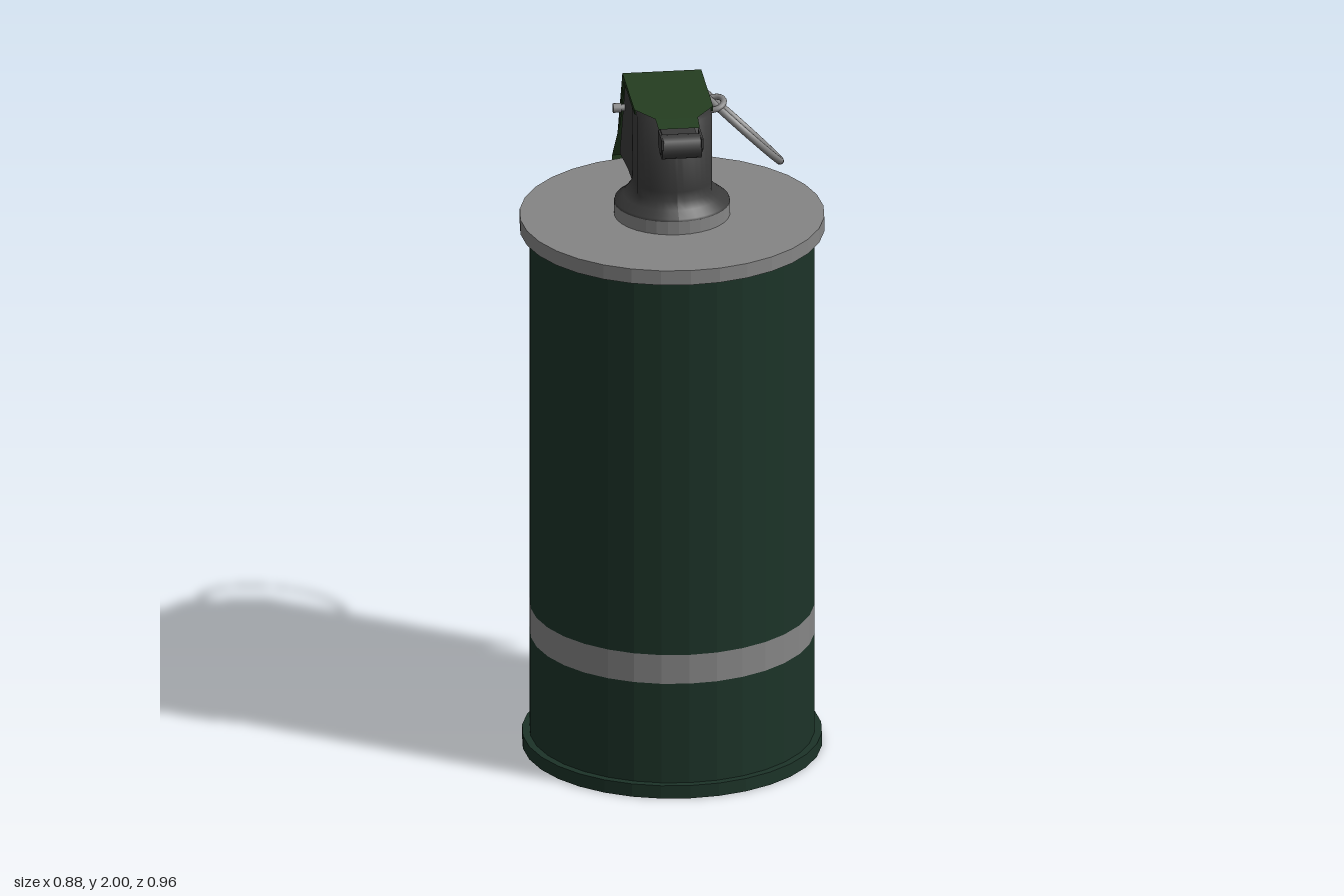
import * as THREE from 'three';

const CZ = 0.04; // axis of the can

const paint = (color, extra = {}) => new THREE.MeshStandardMaterial({ color, ...extra });

export function createModel() {
  const group = new THREE.Group();
  const green = paint(0x1c3328, { flatShading: true });
  const leverGreen = paint(0x243d20, { flatShading: true, side: THREE.DoubleSide });
  const metal = paint(0x858585, { flatShading: true });
  const wire = paint(0x858585);
  const dark = paint(0x3a3a3a);

  function add(name, geometry, material, x = 0, y = 0, z = 0) {
    const mesh = new THREE.Mesh(geometry, material);
    mesh.name = name;
    mesh.position.set(x, y, z);
    group.add(mesh);
    return mesh;
  }
  const disc = (name, r, y0, y1, material) =>
    add(name, new THREE.CylinderGeometry(r, r, y1 - y0, 32), material, 0, (y0 + y1) / 2, CZ);
  // Extrudes a [z, y] side profile across x, centred on x = 0
  function sideExtrude(points, width) {
    const shape = new THREE.Shape(points.map(([z, y]) => new THREE.Vector2(-z, y)));
    return new THREE.ExtrudeGeometry(shape, { depth: width, bevelEnabled: false })
      .translate(0, 0, -width / 2).rotateY(Math.PI / 2);
  }

  // Can
  disc('bottomRim', 0.435, 0, 0.04, green);
  disc('lowerBody', 0.413, 0.04, 0.35, green);
  disc('stripe', 0.413, 0.35, 0.44, metal);
  disc('upperBody', 0.413, 0.44, 1.61, green);
  disc('lid', 0.442, 1.61, 1.655, metal);
  disc('collar', 0.168, 1.655, 1.695, metal);

  // Fuze neck: flared foot, flattened on the sides higher up
  const profile = [[0.168, 1.695], [0.166, 1.702], [0.142, 1.72], [0.128, 1.742], [0.125, 1.77], [0.125, 1.985], [0, 1.985]];
  const neck = new THREE.LatheGeometry(profile.map(([r, y]) => new THREE.Vector2(r, y)), 40);
  const np = neck.attributes.position;
  for (let i = 0; i < np.count; i++) {
    if (np.getY(i) > 1.73) np.setX(i, THREE.MathUtils.clamp(np.getX(i), -0.109, 0.109));
  }
  neck.computeVertexNormals();
  add('fuzeNeck', neck, dark, 0, 0, CZ);

  // Fuze head: block that runs back under the lever
  add('fuzeHead', sideExtrude([[0.06, 1.735], [0.06, 1.99], [-0.185, 1.99], [-0.322, 1.70], [-0.12, 1.73]], 0.215), dark);

  // Hinge at the front
  add('hingeBridge', new THREE.BoxGeometry(0.1, 0.045, 0.1), dark, 0, 1.95, 0.2);
  add('hingeRoll', new THREE.CylinderGeometry(0.036, 0.036, 0.115, 16).rotateZ(Math.PI / 2), dark, 0, 1.95, 0.25);
  for (const s of [-1, 1]) {
    const cheek = sideExtrude([[0.205, 1.985], [0.29, 1.985], [0.29, 1.955], [0.25, 1.925], [0.205, 1.94]], 0.006);
    add('hingeCheek', cheek, dark, s * 0.058);
  }

  // Safety lever: bent sheet given as [z, y, half width]
  const bends = [[0.21, 1.988, 0.06], [0.15, 1.996, 0.062], [0.08, 2, 0.115], [-0.2, 2, 0.115],
    [-0.315, 1.765, 0.115], [-0.442, 1.645, 0.115], [-0.442, 0.65, 0.115]];
  const sheet = new THREE.PlaneGeometry(2, 1, 1, bends.length - 1);
  const sp = sheet.attributes.position;
  for (let i = 0; i < sp.count; i++) {
    const [z, y, w] = bends[Math.floor(i / 2)];
    sp.setXYZ(i, -sp.getX(i) * w, y, z);
  }
  sheet.computeVertexNormals();
  add('lever', sheet, leverGreen);

  // Folded lever edges
  for (const s of [-1, 1]) {
    add('leverTopEdge', new THREE.BoxGeometry(0.005, 0.015, 0.28), leverGreen, s * 0.112, 1.992, -0.06);
    add('leverSlopeEdge', sideExtrude([[-0.17, 2], [-0.2, 2], [-0.315, 1.765], [-0.235, 1.89]], 0.005), leverGreen, s * 0.112);
  }

  // Safety pin with its eye and pull ring
  const pin = (name, r, x0, x1) =>
    add(name, new THREE.CylinderGeometry(r, r, x1 - x0, 12).rotateZ(Math.PI / 2), wire, (x0 + x1) / 2, 1.89, -0.205);
  pin('pin', 0.01, -0.13, 0.13);
  pin('pinHead', 0.014, -0.142, -0.118);
  function ring(name, r, tube, center, normal) {
    const mesh = add(name, new THREE.TorusGeometry(r, tube, 10, 40), wire, ...center);
    mesh.quaternion.setFromUnitVectors(new THREE.Vector3(0, 0, 1), new THREE.Vector3(...normal).normalize());
  }
  ring('pinEye', 0.029, 0.009, [0.153, 1.89, -0.205], [-0.25, 0.9, 0.25]);
  ring('pullRing', 0.167, 0.011, [0.233, 1.785, -0.305], [0.69, 0.7, -0.17]);

  return group;
}
